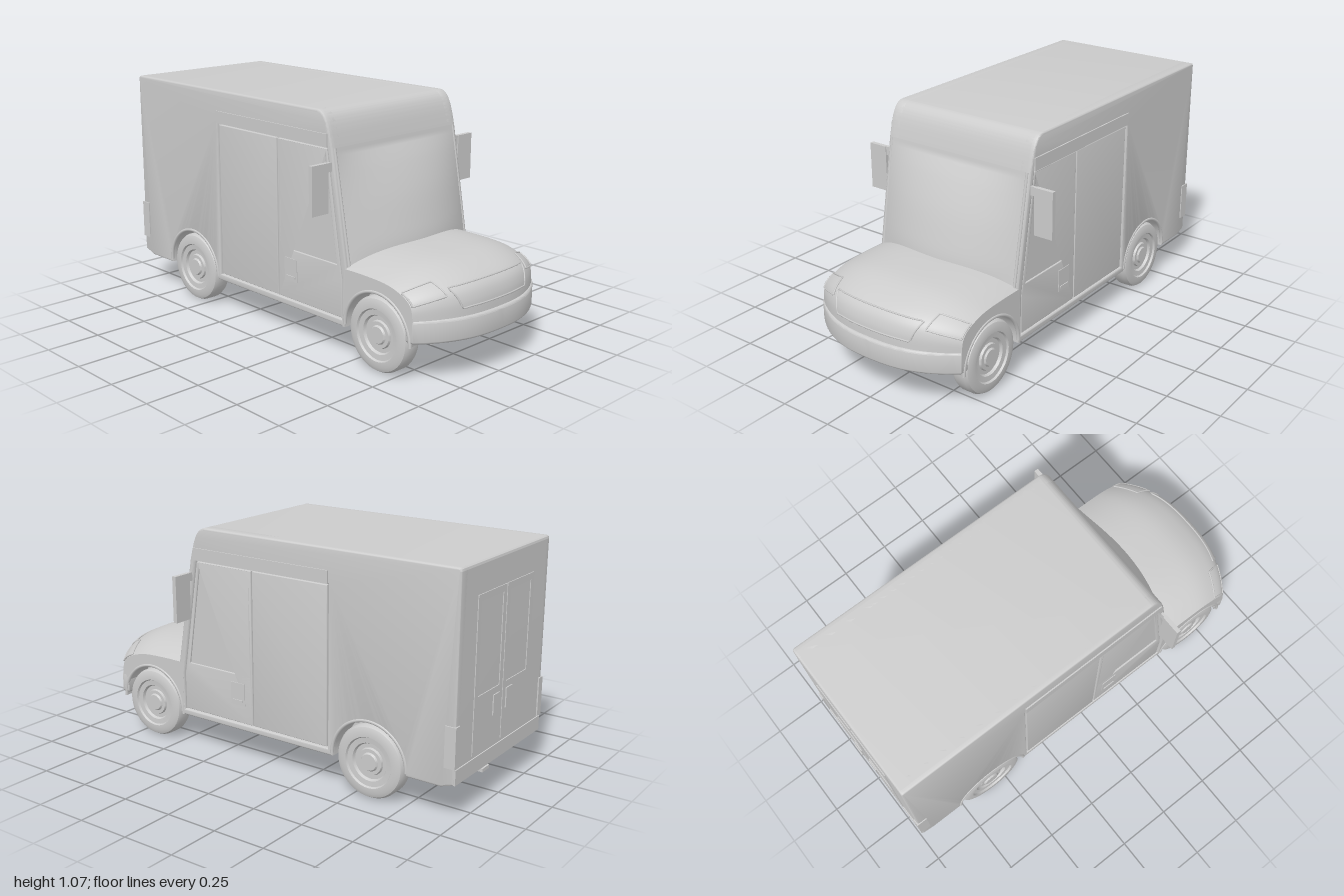
import * as THREE from 'three';
import { toCreasedNormals } from 'three/addons/utils/BufferGeometryUtils.js';
import { ParametricGeometry } from 'three/addons/geometries/ParametricGeometry.js';

const grey = new THREE.MeshStandardMaterial({ color: 0xcccccc });
const greyThin = new THREE.MeshStandardMaterial({ color: 0xcccccc, side: THREE.DoubleSide });
const HALF = 0.39, ARCH = 0.185, AXLE_Y = 0.165, REAR_X = -0.58, FRONT_X = 0.66;

export function createModel() {
  const van = new THREE.Group();
  van.name = 'deliveryVan';

  const add = (name, geo, x = 0, y = 0, z = 0, mat = grey) => {
    const m = new THREE.Mesh(geo, mat);
    m.name = name;
    m.position.set(x, y, z);
    van.add(m);
    return m;
  };
  // box given by its limits
  const box = (name, x0, x1, y0, y1, z0, z1) =>
    add(name, new THREE.BoxGeometry(x1 - x0, y1 - y0, z1 - z0), (x0 + x1) / 2, (y0 + y1) / 2, (z0 + z1) / 2);
  // side-profile slab between two z limits, optionally with rounded edges
  const slab = (name, shape, z0, z1, bevel = 0) => {
    const geo = new THREE.ExtrudeGeometry(shape, {
      depth: z1 - z0 - 2 * bevel, bevelEnabled: bevel > 0, bevelSize: bevel, bevelThickness: bevel,
      bevelOffset: -bevel, bevelSegments: 3, curveSegments: 28,
    });
    return add(name, toCreasedNormals(geo, 0.6), 0, 0, z0 + bevel);
  };
  // the same slab on both sides of the van
  const sideSlab = (name, shape, z0, z1, bevel) => {
    slab(name + 'Left', shape, z0, z1, bevel);
    slab(name + 'Right', shape, -z1, -z0, bevel);
  };
  const sideBox = (name, x0, x1, y0, y1, z0, z1) => {
    box(name + 'Left', x0, x1, y0, y1, z0, z1);
    box(name + 'Right', x0, x1, y0, y1, -z1, -z0);
  };
  const poly = (pts, Type = THREE.Shape) => new Type(pts.map(([x, y]) => new THREE.Vector2(x, y)));

  // Cargo body and cab profile with the rear wheel arch
  const bodyProfile = () => {
    const s = new THREE.Shape();
    s.moveTo(-0.93, 0.15);
    s.lineTo(REAR_X - ARCH, 0.15);
    s.absarc(REAR_X, AXLE_Y, ARCH, Math.PI, 0, true);
    s.lineTo(REAR_X + ARCH, 0.15);
    s.lineTo(0.475, 0.15);
    s.lineTo(0.475, 0.25);
    s.lineTo(0.485, 0.4);
    s.lineTo(0.395, 0.91);
    s.bezierCurveTo(0.375, 0.99, 0.36, 1.065, 0.3, 1.065);
    s.lineTo(-0.975, 1.065);
    s.quadraticCurveTo(-0.99, 1.065, -0.99, 1.05);
    s.lineTo(-0.99, 0.17);
    return s;
  };
  slab('bodyCore', bodyProfile(), -0.37, 0.37);
  const skin = bodyProfile();
  skin.holes.push(poly([[-0.37, 0.18], [-0.37, 0.91], [0.365, 0.91], [0.455, 0.36], [0.455, 0.18]], THREE.Path));
  sideSlab('bodySide', skin, 0.33, HALF, 0.008);

  // Doors, set slightly into the sides
  sideSlab('slidingDoor', poly([[-0.362, 0.185], [0.041, 0.185], [0.041, 0.905], [-0.362, 0.905]]), 0.36, 0.385, 0.003);
  const cabDoor = poly([[0.047, 0.185], [0.45, 0.185], [0.45, 0.36], [0.36, 0.905], [0.047, 0.905]]);
  cabDoor.holes.push(poly([[0.065, 0.415], [0.065, 0.9], [0.345, 0.9], [0.42, 0.415]], THREE.Path));
  sideSlab('cabDoor', cabDoor, 0.36, 0.385, 0.003);
  sideSlab('sideWindow', poly([[0.06, 0.41], [0.425, 0.41], [0.35, 0.902], [0.06, 0.902]]), 0.365, 0.377);
  sideBox('doorRail', -0.37, 0.37, 0.913, 0.97, 0.38, 0.396);
  sideBox('doorHandlePlate', 0.09, 0.17, 0.27, 0.375, 0.38, 0.388);
  sideBox('doorHandle', 0.1, 0.16, 0.285, 0.295, 0.385, 0.392);

  // Floor between the wheel wells
  box('rearFloor', -0.8, -0.36, 0.15, 0.4, -0.27, 0.27);
  box('engineBay', 0.45, 0.86, 0.15, 0.4, -0.27, 0.27);

  // Windscreen: straight at the pillars, bowed at the middle
  const screenMid = new THREE.SplineCurve([[0.39, 0.912], [0.45, 0.81], [0.505, 0.69], [0.545, 0.57], [0.567, 0.48], [0.57, 0.4]]
    .map(p => new THREE.Vector2(...p)));
  add('windscreen', new ParametricGeometry((u, v, t) => {
    const s = 2 * u - 1, p = screenMid.getPoint(v);
    const edge = 0.487 - (p.y - 0.4) * 0.176;
    t.set(edge + Math.max(p.x - edge, 0) * (1 - s * s), p.y, s * 0.372);
  }, 24, 24), 0, 0, 0, greyThin);
  // Windscreen pillars
  for (const side of [-1, 1]) {
    const path = new THREE.LineCurve3(new THREE.Vector3(0.394, 0.91, side * 0.372), new THREE.Vector3(0.486, 0.4, side * 0.372));
    add('windscreenPillar', new THREE.TubeGeometry(path, 1, 0.007, 8));
  }

  // Bonnet: domed across, curving down into the nose; s runs -1..1 across, v back to front
  const bonnetCurve = new THREE.SplineCurve([[0, 1], [0.3, 1.0], [0.6, 0.95], [0.8, 0.8], [0.93, 0.6], [0.985, 0.35], [1, 0], [1, -0.4]]
    .map(p => new THREE.Vector2(...p)));
  const bonnetPoint = (s, v, t, out = 0) => {
    const a = Math.abs(s), p = bonnetCurve.getPoint(v);
    const front = 0.985 - 0.125 * a ** 2.5, top = 0.41 + 0.073 * (1 - a ** 3);
    return t.set(0.475 + (front - 0.475) * p.x + out, 0.28 + (top - 0.28) * p.y + out * 0.5, s * HALF);
  };
  add('bonnet', new ParametricGeometry((u, v, t) => bonnetPoint(2 * u - 1, v, t), 40, 40), 0, 0, 0, greyThin);

  // Front wings with wheel arches, following the bonnet edge
  const wing = new THREE.Shape();
  wing.moveTo(0.462, 0.15);
  wing.lineTo(FRONT_X - ARCH, 0.15);
  wing.absarc(FRONT_X, AXLE_Y, ARCH, Math.PI, 0, true);
  const edgePoint = new THREE.Vector3();
  for (let i = 24; i >= 0; i--) {
    bonnetPoint(1, i / 24, edgePoint);
    wing.lineTo(edgePoint.x, edgePoint.y);
  }
  wing.lineTo(0.462, 0.41);
  sideSlab('frontWing', wing, 0.28, HALF);

  // Panels that lie on the nose, each with a thin frame
  const nosePanel = (name, corners) => {
    const [a, b, c, d] = corners; // [s, v] : top start, top end, bottom end, bottom start
    const at = (u, w) => [0, 1].map(k => (a[k] * (1 - u) + b[k] * u) * (1 - w) + (d[k] * (1 - u) + c[k] * u) * w);
    add(name, new ParametricGeometry((u, w, t) => bonnetPoint(...at(u, w), t, 0.003), 16, 8), 0, 0, 0, greyThin);
    const loop = [];
    for (let i = 0; i < 4; i++) for (let k = 0; k < 10; k++) {
      const f = k / 10, uw = [[f, 0], [1, f], [1 - f, 1], [0, 1 - f]][i];
      loop.push(bonnetPoint(...at(...uw), new THREE.Vector3(), 0.003));
    }
    add(name + 'Frame', new THREE.TubeGeometry(new THREE.CatmullRomCurve3(loop, true), 80, 0.004, 6, true));
  };
  nosePanel('grille', [[-0.61, 0.55], [0.61, 0.55], [0.52, 0.78], [-0.52, 0.78]]);
  nosePanel('headlampLeft', [[0.7, 0.44], [0.99, 0.44], [0.99, 0.66], [0.66, 0.63]]);
  nosePanel('headlampRight', [[-0.99, 0.44], [-0.7, 0.44], [-0.66, 0.63], [-0.99, 0.66]]);

  // Front bumper: bowed plan extruded upwards
  const plan = new THREE.Shape();
  plan.moveTo(0.825, -HALF);
  for (let i = 0; i <= 32; i++) {
    const s = i / 16 - 1;
    plan.lineTo(1 - 0.135 * Math.abs(s) ** 2.5, s * HALF);
  }
  plan.lineTo(0.825, HALF);
  const bumper = new THREE.ExtrudeGeometry(plan, {
    depth: 0.08, bevelSize: 0.01, bevelThickness: 0.01, bevelOffset: -0.01, bevelSegments: 3,
  });
  bumper.rotateX(Math.PI / 2);
  add('frontBumper', toCreasedNormals(bumper, 0.6), 0, 0.273, 0);

  // Wheels: tyre and stepped rim in one turned profile
  const wheelProfile = [[0, -0.046], [0.14, -0.046], [0.157, -0.04], [0.165, -0.024], [0.165, 0.026], [0.157, 0.04],
    [0.14, 0.047], [0.115, 0.047], [0.11, 0.038], [0.086, 0.036], [0.08, 0.024], [0.062, 0.024], [0.058, 0.034],
    [0.042, 0.034], [0.036, 0.042], [0, 0.042]].map(p => new THREE.Vector2(...p));
  const wheelGeo = toCreasedNormals(new THREE.LatheGeometry(wheelProfile, 48), 0.6);
  for (const x of [REAR_X, FRONT_X]) {
    for (const side of [-1, 1]) {
      add('wheel', wheelGeo, x, AXLE_Y, side * 0.342).rotation.x = side * Math.PI / 2;
      add('archFlare', new THREE.TorusGeometry(ARCH + 0.002, 0.008, 8, 40, Math.PI), x, AXLE_Y, side * 0.387);
    }
    const axle = add('axle', new THREE.CylinderGeometry(0.02, 0.02, 0.62, 12), x, AXLE_Y, 0);
    axle.rotation.x = Math.PI / 2;
  }

  // Door mirrors
  sideBox('mirror', 0.38, 0.4, 0.64, 0.855, 0.412, 0.505);
  sideBox('mirrorArm', 0.384, 0.396, 0.815, 0.855, 0.37, 0.415);

  // Rear doors with inset windows, handles, lamps, lower band and step
  for (const side of [-1, 1]) {
    const door = poly([[-0.122, 0.25], [0.122, 0.25], [0.122, 0.93], [-0.122, 0.93]]);
    door.holes.push(poly([[-0.095, 0.5], [-0.095, 0.9], [0.095, 0.9], [0.095, 0.5]], THREE.Path));
    const geo = new THREE.ExtrudeGeometry(door, { depth: 0.006, bevelEnabled: false });
    add('rearDoor', geo, -0.988, 0, side * 0.125).rotation.y = -Math.PI / 2;
  }
  sideBox('rearHandle', -0.999, -0.985, 0.38, 0.47, 0.03, 0.085);
  sideBox('tailLamp', -0.996, -0.945, 0.24, 0.42, 0.36, 0.395);
  box('rearBand', -0.995, -0.96, 0.168, 0.235, -0.385, 0.385);
  box('rearStep', -1, -0.92, 0.15, 0.165, -0.16, -0.1);

  return van;
}
